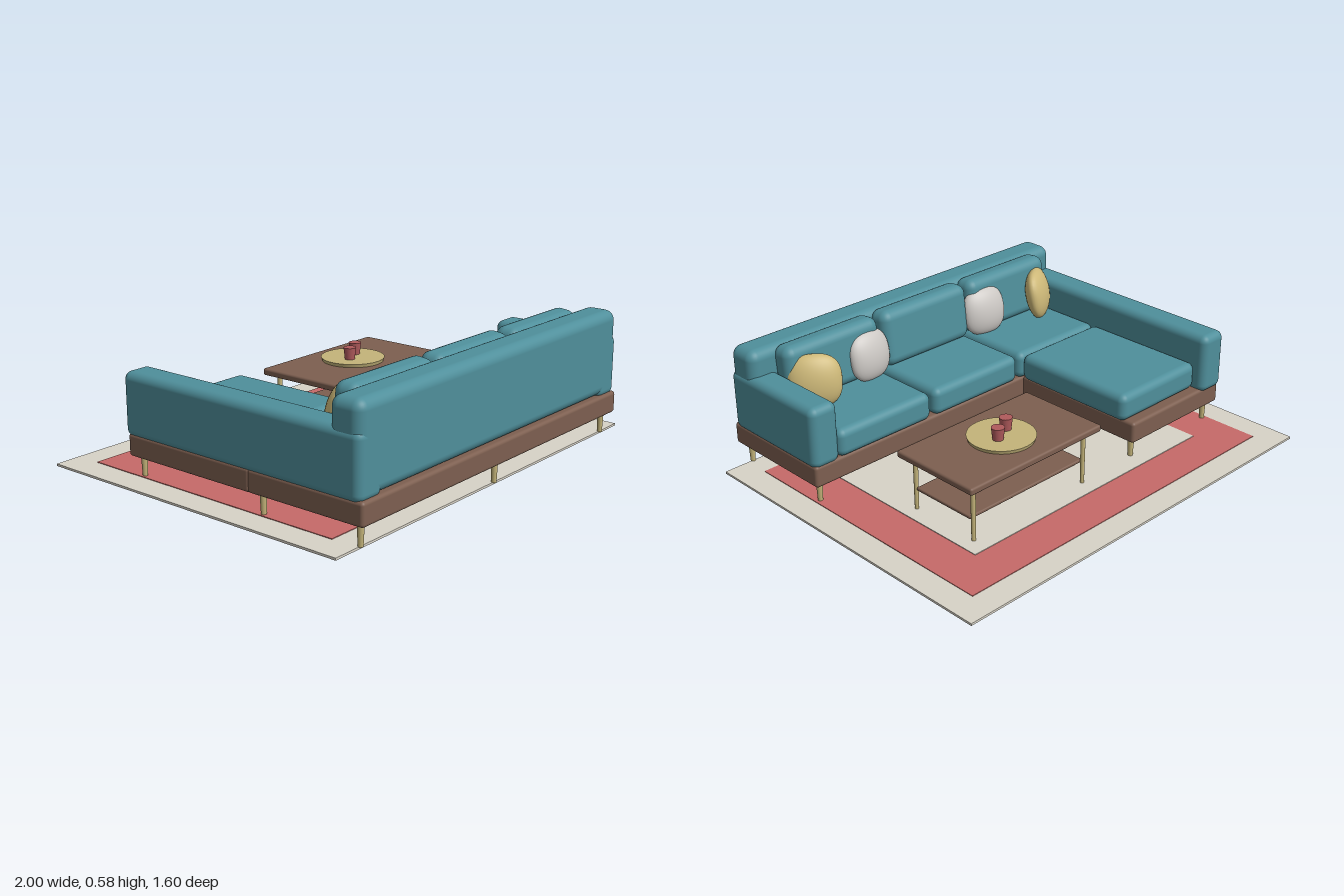
import * as THREE from 'three';
import { RoundedBoxGeometry } from 'three/addons/geometries/RoundedBoxGeometry.js';

const mat = (name, color) => Object.assign(new THREE.MeshStandardMaterial({ color }), { name });

export function createModel() {
  const teal = mat('teal fabric', 0x4f8f9b);
  const wood = mat('brown wood', 0x7d5f50);
  const brass = mat('brass', 0xc4b47a);
  const red = mat('rug red', 0xc66a68);
  const cupRed = mat('cup red', 0xb05a5c);
  const cream = mat('cream wool', 0xd8d3c7);
  const mustard = mat('mustard fabric', 0xcdb878);
  const grey = mat('pale grey fabric', 0xccc8c4);

  const model = new THREE.Group();
  model.name = 'livingRoomSet';
  const group = (name) => {
    const g = new THREE.Group();
    g.name = name;
    model.add(g);
    return g;
  };
  const add = (parent, name, geometry, material, x, y, z) => {
    const mesh = new THREE.Mesh(geometry, material);
    mesh.name = name;
    mesh.position.set(x, y, z);
    parent.add(mesh);
    return mesh;
  };
  // Box given by its limits on each axis, rounded when r > 0
  const box = (parent, name, material, [x0, x1], [y0, y1], [z0, z1], r = 0) => {
    const s = [x1 - x0, y1 - y0, z1 - z0];
    const geo = r ? new RoundedBoxGeometry(...s, 4, r) : new THREE.BoxGeometry(...s);
    return add(parent, name, geo, material, (x0 + x1) / 2, (y0 + y1) / 2, (z0 + z1) / 2);
  };
  const rod = (parent, name, material, rTop, rBottom, y0, y1, x, z, sides = 16) =>
    add(parent, name, new THREE.CylinderGeometry(rTop, rBottom, y1 - y0, sides), material, x, (y0 + y1) / 2, z);

  // Rug: slab with two thin woven panels
  const rug = group('rug');
  box(rug, 'rugBase', cream, [-1, 1], [0, 0.01], [-0.8, 0.75]);
  box(rug, 'rugBorder', red, [-0.88, 0.88], [0.008, 0.013], [-0.68, 0.63]);
  box(rug, 'rugCentre', cream, [-0.685, 0.685], [0.01, 0.016], [-0.49, 0.44]);

  // Sofa frame and legs
  const sofa = group('sofa');
  box(sofa, 'mainBase', wood, [-0.905, 0.9], [0.1, 0.2], [0.225, 0.797], 0.015);
  box(sofa, 'chaiseBase', wood, [-0.905, -0.31], [0.1, 0.2], [-0.445, 0.235], 0.015);
  const legSpots = [[-0.86, 0.75], [0, 0.75], [0.855, 0.75], [-0.86, 0.27], [0, 0.27], [0.855, 0.27],
    [-0.86, -0.4], [-0.35, -0.4]];
  for (const [x, z] of legSpots) rod(sofa, 'sofaLeg', brass, 0.015, 0.011, 0.008, 0.105, x, z);

  // Upholstered back and arms
  box(sofa, 'backrest', teal, [-0.905, 0.9], [0.195, 0.575], [0.63, 0.785], 0.045);
  box(sofa, 'leftArm', teal, [0.768, 0.906], [0.183, 0.462], [0.222, 0.785], 0.035);
  box(sofa, 'rightArm', teal, [-0.91, -0.77], [0.183, 0.462], [-0.46, 0.785], 0.035);

  // Seat cushions with leaning back cushions
  for (const x of [-0.525, -0.005, 0.525]) {
    box(sofa, 'seatCushion', teal, [x - 0.255, x + 0.255], [0.197, 0.325], [0.21, 0.65], 0.035);
    const back = box(sofa, 'backCushion', teal, [x - 0.253, x + 0.253], [0.318, 0.58], [0.53, 0.648], 0.045);
    back.rotation.x = 0.1;
  }
  box(sofa, 'chaiseCushion', teal, [-0.78, -0.28], [0.197, 0.325], [-0.408, 0.212], 0.035);

  // Throw pillows: flattened spheres, slightly squared in outline
  const pillowGeo = new THREE.SphereGeometry(1, 32, 24);
  const p = pillowGeo.attributes.position;
  for (let i = 0; i < p.count; i++) {
    const x = p.getX(i), y = p.getY(i);
    const k = 1 + 0.35 * x * x * y * y;
    p.setXY(i, x * k, y * k);
  }
  pillowGeo.computeVertexNormals();
  const pillow = (name, material, x, z, size, turn) => {
    const m = add(sofa, name, pillowGeo, material, x, 0.425, z);
    m.scale.set(size, size, 0.055);
    m.rotation.set(0.18, turn, 0, 'YXZ');
  };
  pillow('mustardPillow', mustard, -0.69, 0.505, 0.118, 0.6);
  pillow('mustardPillow', mustard, 0.675, 0.5, 0.118, -0.6);
  pillow('greyPillow', grey, -0.355, 0.535, 0.113, -0.12);
  pillow('greyPillow', grey, 0.345, 0.535, 0.113, 0.12);

  // Coffee table
  const table = group('coffeeTable');
  box(table, 'tableTop', wood, [-0.08, 0.673], [0.26, 0.292], [-0.46, -0.02], 0.01);
  box(table, 'tableShelf', wood, [-0.03, 0.625], [0.108, 0.124], [-0.4, -0.08], 0.006);
  for (const x of [-0.022, 0.617])
    for (const z of [-0.07, -0.41]) rod(table, 'tableLeg', brass, 0.011, 0.009, 0.012, 0.265, x, z);

  // Tray with two tapered cups
  rod(table, 'tray', brass, 0.147, 0.142, 0.292, 0.308, 0.295, -0.242, 48);
  for (const [x, z] of [[0.25, -0.223], [0.335, -0.263]])
    rod(table, 'cup', cupRed, 0.029, 0.023, 0.308, 0.363, x, z, 24);

  return model;
}
